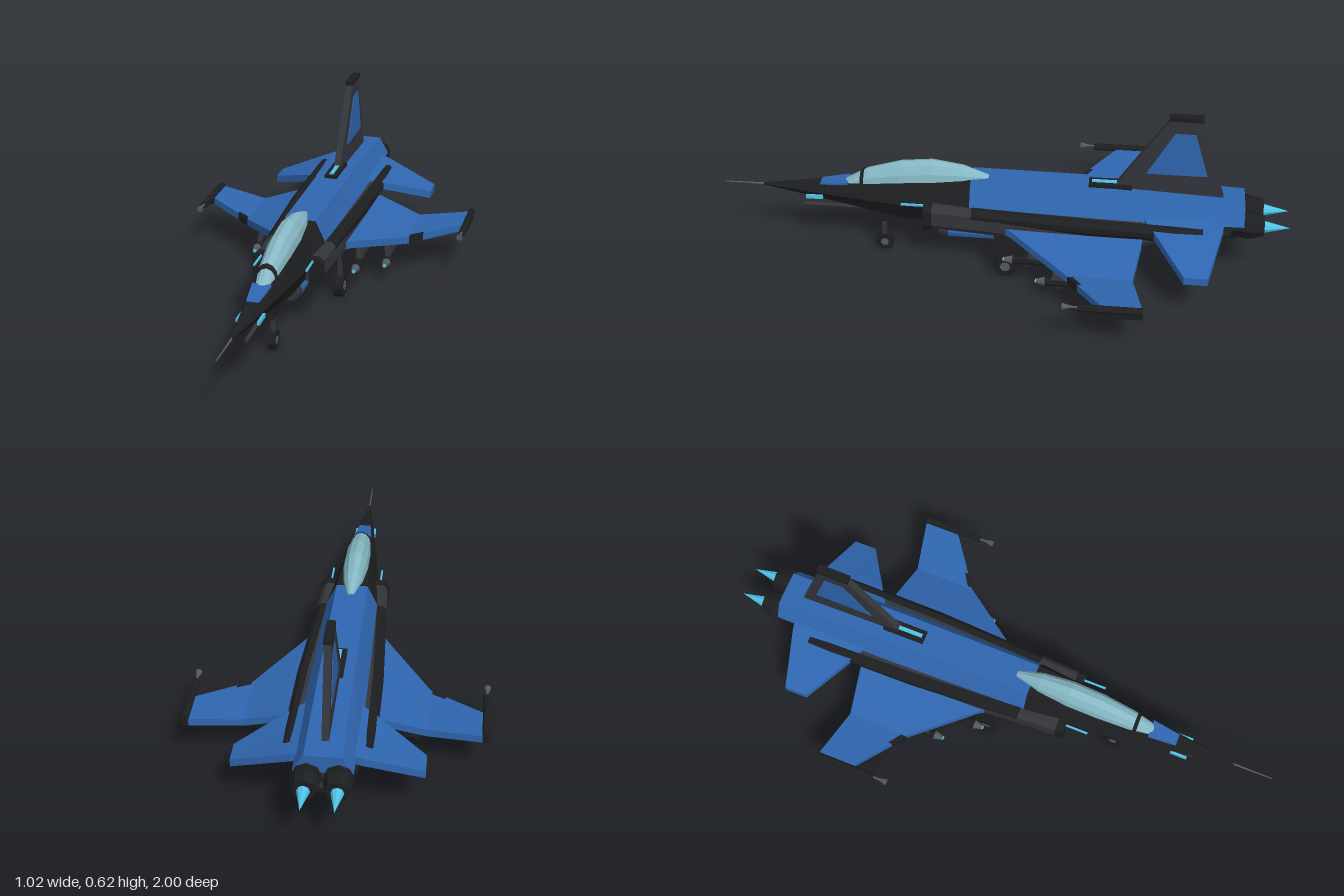
import * as THREE from 'three';

const mat = (color) => new THREE.MeshStandardMaterial({ color, flatShading: true });

// Closed solid through rings of equal point count; always wound outward
function loft(rings) {
  const n = rings[0].length, tris = [];
  const mid = (r) => [0, 1, 2].map((k) => r.reduce((s, p) => s + p[k], 0) / n);
  const first = rings[0], last = rings[rings.length - 1], c0 = mid(first), c1 = mid(last);
  for (let i = 0; i < n; i++) {
    const j = (i + 1) % n;
    for (let r = 0; r < rings.length - 1; r++) {
      const a = rings[r], b = rings[r + 1];
      tris.push([a[i], a[j], b[j]], [a[i], b[j], b[i]]);
    }
    tris.push([c0, first[j], first[i]], [c1, last[i], last[j]]);
  }
  let volume = 0;
  for (const [a, b, c] of tris) {
    volume += new THREE.Vector3(...a).sub(new THREE.Vector3(...c0))
      .dot(new THREE.Vector3(...b).sub(new THREE.Vector3(...c0))
        .cross(new THREE.Vector3(...c).sub(new THREE.Vector3(...c0))));
  }
  if (volume < 0) tris.forEach((t) => t.reverse());
  const g = new THREE.BufferGeometry();
  g.setAttribute('position', new THREE.Float32BufferAttribute(tris.flat(2), 3));
  g.computeVertexNormals();
  return g;
}

// Flat panel from [x, y, z] corners, thickened by t along one axis (0 x, 1 y)
const plate = (pts, t, axis = 1) =>
  loft([-t / 2, t / 2].map((d) => pts.map((p) => p.map((v, k) => (k === axis ? v + d : v)))));

const box = (w, h, d, x, y, z) => new THREE.BoxGeometry(w, h, d).translate(x, y, z);

// Cylinder along z between two stations
const tube = (rFront, rBack, zFront, zBack, x, y, sides = 8) =>
  new THREE.CylinderGeometry(rFront, rBack, zFront - zBack, sides)
    .rotateX(Math.PI / 2).translate(x, y, (zFront + zBack) / 2);

// Wheel turning about x
const disc = (r, w, x, y, z) =>
  new THREE.CylinderGeometry(r, r, w, 12).rotateZ(Math.PI / 2).translate(x, y, z);

export function createModel() {
  const model = new THREE.Group();
  const black = mat(0x1c1e20), grey = mat(0x33353b), blue = mat(0x2f66b0);
  const cyan = mat(0x4fc3e8), glass = mat(0x86b8c4), metal = mat(0x55595f);
  const add = (name, geometry, material, parent = model) => {
    const mesh = new THREE.Mesh(geometry, material);
    mesh.name = name;
    parent.add(mesh);
  };
  const pair = (name, make, material) => {
    add(name + 'Left', make(1), material);
    add(name + 'Right', make(-1), material);
  };

  // Fuselage stations: z, top half width, top y, mid half width, mid y, bottom half width, bottom y
  const upper = ([z, wt, yt, wm, ym]) => [[wm, ym, z], [wt, yt, z], [-wt, yt, z], [-wm, ym, z]];
  const lower = ([z, , , wm, ym, wb, yb]) => [[-wm, ym, z], [-wb, yb, z], [wb, yb, z], [wm, ym, z]];
  const full = (s) => [...upper(s), ...lower(s).slice(1, 3)];
  const joint = [0.11, 0.055, 0.335, 0.095, 0.25, 0.06, 0.165];
  const nose = [
    [0.86, 0.003, 0.253, 0.004, 0.25, 0.003, 0.247],
    [0.6, 0.025, 0.28, 0.042, 0.245, 0.02, 0.205],
    [0.35, 0.045, 0.315, 0.075, 0.24, 0.04, 0.165], joint];
  const body = [joint,
    [-0.4, 0.058, 0.33, 0.1, 0.25, 0.06, 0.165],
    [-0.84, 0.06, 0.31, 0.095, 0.25, 0.06, 0.19]];
  add('noseSection', loft(nose.map(full)), black);
  add('upperFuselage', loft(body.map(upper)), blue);
  add('lowerFuselage', loft(body.map(lower)), grey);
  add('noseProbe', tube(0.002, 0.004, 1, 0.85, 0, 0.25, 6), metal);
  add('nosePanel', plate([[0.021, 0.274, 0.65], [0.032, 0.289, 0.55],
    [-0.032, 0.289, 0.55], [-0.021, 0.274, 0.65]], 0.008), blue);
  add('cannon', tube(0.007, 0.008, 0.72, 0.3, 0, 0.175), grey);
  pair('noseLight', (s) => box(0.008, 0.014, 0.06, s * 0.035, 0.23, 0.67), cyan);

  // Faceted canopy with a windscreen bow: z, half width, base y, top y
  const arch = ([z, w, y0, y1]) => Array.from({ length: 7 }, (_, i) => {
    const a = (i / 6) * Math.PI;
    return [w * Math.cos(a), y0 + (y1 - y0) * Math.sin(a), z];
  });
  add('canopy', loft([[0.56, 0.022, 0.28, 0.292], [0.48, 0.036, 0.29, 0.342], [0.36, 0.045, 0.305, 0.38],
    [0.25, 0.046, 0.315, 0.392], [0.14, 0.036, 0.325, 0.375], [0.05, 0.012, 0.33, 0.342]].map(arch)), glass);
  add('canopyBow', loft([[0.505, 0.035, 0.287, 0.331], [0.492, 0.037, 0.289, 0.339]].map(arch)), black);

  // Side intakes, ducts and the rails above the tail roots
  const duct = (s, sections) => loft(sections.map(([z, xi, xo, y0, y1]) =>
    [[s * xi, y0, z], [s * (xo - 0.012), y0, z], [s * xo, y0 + 0.02, z], [s * xo, y1 - 0.015, z],
      [s * (xo - 0.015), y1, z], [s * xi, y1, z]]));
  pair('intakeDuct', (s) => duct(s, [[0.25, 0.06, 0.117, 0.175, 0.262], [0, 0.06, 0.13, 0.168, 0.258],
    [-0.5, 0.06, 0.14, 0.17, 0.25], [-0.62, 0.06, 0.1, 0.18, 0.245]]), grey);
  pair('intakeLip', (s) => duct(s, [[0.27, 0.075, 0.121, 0.172, 0.265], [0.24, 0.075, 0.122, 0.172, 0.265]]), black);
  pair('sideRail', (s) => duct(s, [[0.1, 0.09, 0.125, 0.215, 0.262], [-0.3, 0.11, 0.145, 0.2, 0.258],
    [-0.7, 0.118, 0.15, 0.2, 0.25]]), black);
  pair('sideLight', (s) => box(0.006, 0.007, 0.12, s * 0.09, 0.258, 0.29), cyan);

  // Drooped inner wings and rising outer wings
  pair('innerWing', (s) => plate([[s * 0.09, 0.205, 0.05], [s * 0.14, 0.192, -0.04], [s * 0.305, 0.14, -0.25],
    [s * 0.305, 0.14, -0.47], [s * 0.15, 0.19, -0.495], [s * 0.09, 0.205, -0.495]], 0.027), blue);
  pair('outerWing', (s) => plate([[s * 0.305, 0.14, -0.25], [s * 0.49, 0.158, -0.385],
    [s * 0.49, 0.158, -0.51], [s * 0.305, 0.14, -0.47]], 0.026), blue);
  pair('wingEdgeBlock', (s) => plate([[s * 0.31, 0.141, -0.25], [s * 0.355, 0.145, -0.283],
    [s * 0.355, 0.145, -0.3], [s * 0.31, 0.141, -0.27]], 0.029), black);
  pair('tailplane', (s) => plate([[s * 0.08, 0.25, -0.49], [s * 0.15, 0.228, -0.535], [s * 0.31, 0.168, -0.64],
    [s * 0.31, 0.168, -0.72], [s * 0.11, 0.243, -0.77], [s * 0.08, 0.25, -0.77]], 0.028), blue);

  // Vertical fin with inset panels, cap and spine housing
  const fin = (corners, t, x = 0) => plate(corners.map(([z, y]) => [x, y, z]), t, 0);
  add('tailFin', fin([[-0.38, 0.32], [-0.57, 0.615], [-0.67, 0.615], [-0.77, 0.3]], 0.024), grey);
  add('finPanel', fin([[-0.495, 0.395], [-0.585, 0.56], [-0.655, 0.56], [-0.705, 0.395]], 0.028), blue);
  add('finCap', box(0.028, 0.016, 0.115, 0, 0.616, -0.62), black);
  add('spineHousing', box(0.046, 0.022, 0.15, 0, 0.332, -0.375), black);
  add('spineLight', box(0.014, 0.006, 0.09, 0, 0.344, -0.355), cyan);

  // Canted ventral fins and belly fairing
  pair('ventralFin', (s) => loft([-0.63, -0.76].map((z) => [[s * 0.1, 0.19, z], [s * 0.05, 0.185, z],
    [s * 0.045, 0.155, z], [s * 0.062, 0.105, z]])), black);
  add('bellyFairing', loft([[0.3, 0.03], [0.15, 0.05], [-0.6, 0.05], [-0.82, 0.03]].map(([z, w]) =>
    [[w, 0.185, z], [-w, 0.185, z], [-w * 0.7, 0.153, z], [w * 0.7, 0.153, z]])), black);

  // Twin engines
  pair('engineShroud', (s) => tube(0.044, 0.05, -0.8, -0.86, s * 0.05, 0.235), black);
  pair('nozzle', (s) => tube(0.05, 0.038, -0.85, -0.91, s * 0.05, 0.232), black);
  pair('exhaustPlume', (s) => tube(0.024, 0, -0.9, -1, s * 0.052, 0.23), cyan);

  // Wing tip launchers
  pair('tipRail', (s) => tube(0.013, 0.013, -0.295, -0.51, s * 0.495, 0.172), black);
  pair('tipRailFoot', (s) => box(0.018, 0.03, 0.13, s * 0.493, 0.158, -0.445), black);
  pair('tipStem', (s) => tube(0.004, 0.004, -0.26, -0.3, s * 0.495, 0.175, 6), metal);
  pair('tipSensor', (s) => tube(0.012, 0.004, -0.245, -0.275, s * 0.495, 0.175), metal);

  // Under-wing missiles on slanted pylons
  const missile = (x, y, zFront, zBack, wingX, wingY) => {
    const g = new THREE.Group();
    g.name = 'missile';
    add('missileBody', tube(0.015, 0.015, zFront - 0.03, zBack, x, y), black, g);
    add('missileNose', tube(0.008, 0.016, zFront, zFront - 0.03, x, y), metal, g);
    add('seeker', tube(0.007, 0.007, zFront + 0.004, zFront - 0.01, x, y), cyan, g);
    for (const a of [1, 3]) {
      for (const [span, len, z] of [[0.078, 0.035, zBack + 0.02], [0.05, 0.025, zFront - 0.08]]) {
        add('missileFin', new THREE.BoxGeometry(span, 0.004, len).rotateZ(a * Math.PI / 4).translate(x, y, z), black, g);
      }
    }
    const zm = (zFront + zBack) / 2;
    add('pylon', loft([zm + 0.08, zm - 0.09].map((z) => [[x - 0.008, y + 0.01, z], [x + 0.008, y + 0.01, z],
      [wingX + 0.009, wingY, z - 0.02], [wingX - 0.009, wingY, z - 0.02]])), grey, g);
    model.add(g);
  };
  for (const s of [1, -1]) {
    missile(s * 0.16, 0.1, -0.02, -0.34, s * 0.148, 0.185);
    missile(s * 0.245, 0.08, -0.14, -0.4, s * 0.232, 0.16);
  }

  // Centreline tank
  add('tankNose', tube(0.026, 0.033, 0.23, 0.195, 0, 0.108, 12), grey);
  add('tankBody', tube(0.033, 0.033, 0.195, -0.12, 0, 0.108, 12), blue);
  add('tankTail', tube(0.033, 0.018, -0.12, -0.2, 0, 0.108, 12), black);
  add('tankPylon', box(0.016, 0.04, 0.2, 0, 0.15, 0.04), black);

  // Landing gear
  add('noseWheel', disc(0.034, 0.022, 0, 0.034, 0.43), black);
  add('noseHub', disc(0.014, 0.026, 0, 0.034, 0.43), metal);
  add('noseStrut', box(0.014, 0.14, 0.016, 0, 0.11, 0.43), grey);
  add('noseGearBlock', box(0.024, 0.045, 0.085, 0, 0.148, 0.43), black);
  pair('mainWheel', (s) => disc(0.042, 0.032, s * 0.111, 0.042, -0.02), black);
  pair('mainHub', (s) => disc(0.018, 0.036, s * 0.111, 0.042, -0.02), metal);
  pair('mainStrut', (s) => box(0.016, 0.13, 0.02, s * 0.111, 0.12, -0.02), grey);
  pair('gearDoor', (s) => plate([[s * 0.126, 0.175, 0.02], [s * 0.14, 0.09, 0.01],
    [s * 0.14, 0.09, -0.05], [s * 0.126, 0.175, -0.06]], 0.005, 0), black);
  return model;
}
